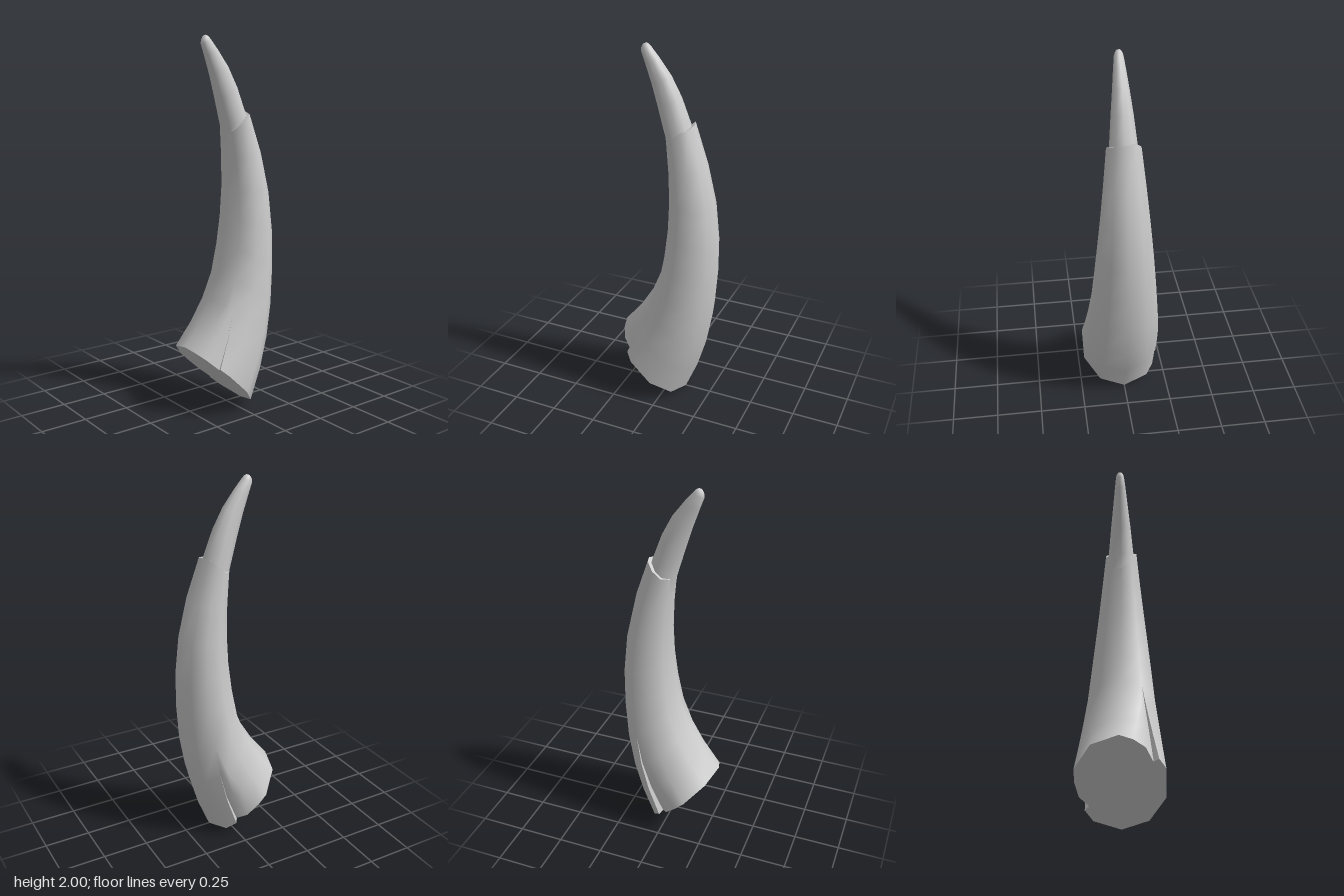
import * as THREE from 'three';
import { toCreasedNormals } from 'three/addons/utils/BufferGeometryUtils.js';

const SIDES = 10, STEP = 360 / SIDES;
const rad = THREE.MathUtils.degToRad, lerp = THREE.MathUtils.lerp;

// Radius factor that keeps extra columns on the flat sides of the ten-sided ring
const flat = a => Math.cos(rad(STEP / 2)) / Math.cos(rad(a % STEP - STEP / 2));

// Row: [outer x, outer y, inner x, inner y, half depth]; column: [angle, inset, lift]
function ring([ox, oy, ix, iy, hz], columns) {
  return columns.map(([a, inset = 0, lift = 0]) => {
    const r = flat(a) * (1 - inset), c = r * Math.cos(rad(a)) / 2;
    return new THREE.Vector3(
      (ox + ix) / 2 + (ox - ix) * c,
      (oy + iy) / 2 + (oy - iy) * c + lift,
      hz * r * Math.sin(rad(a)));
  });
}

// Skins the rings, optionally closing both ends
function loft(name, rings, closeTop) {
  const pos = [], n = rings[0].length;
  const tri = (...pts) => pts.forEach(p => pos.push(p.x, p.y, p.z));
  const middle = r => r.reduce((s, p) => s.add(p), new THREE.Vector3()).divideScalar(n);
  const last = rings[rings.length - 1];
  const c0 = middle(rings[0]), c1 = middle(last);
  for (let i = 0; i < n; i++) {
    const k = (i + 1) % n;
    for (let j = 0; j + 1 < rings.length; j++) {
      const a = rings[j], b = rings[j + 1];
      tri(a[i], b[i], a[k]);
      tri(a[k], b[i], b[k]);
    }
    tri(c0, rings[0][i], rings[0][k]);
    if (closeTop) tri(c1, last[k], last[i]);
  }
  const geo = new THREE.BufferGeometry();
  geo.setAttribute('position', new THREE.Float32BufferAttribute(pos, 3));
  const mesh = new THREE.Mesh(toCreasedNormals(geo, 0.9),
    new THREE.MeshStandardMaterial({ color: 0xcccccc, side: THREE.DoubleSide }));
  mesh.name = name;
  return mesh;
}

// Columns of the body; two split grooves narrow to a point at the fourth row
function bodyColumns(row) {
  const s = Math.max(0, 1 - row / 3), d = 0.14 * s;
  const columns = [];
  for (let i = 0; i < SIDES; i++) {
    const a = i * STEP;
    if (a === 144) {
      const lo = lerp(a, 122, s), hi = lerp(a, 162, s);
      columns.push([lo], [lo, d], [a, d * 0.6], [hi]);
    } else if (a === 288) {
      const lo = lerp(a, 268, s), hi = lerp(a, 307, s);
      columns.push([lo], [a, d * 0.6], [hi, d], [hi]);
    } else columns.push([a]);
  }
  return columns;
}

export function createModel() {
  const model = new THREE.Group();
  model.name = 'horn';

  // Thick outer sheath, from slanted base to upper rim
  const bodyRows = [
    [0.1, 0, -0.278, 0.37, 0.237],
    [0.17, 0.17, -0.18, 0.49, 0.222],
    [0.22, 0.34, -0.105, 0.61, 0.206],
    [0.255, 0.53, -0.05, 0.745, 0.187],
    [0.272, 0.74, -0.02, 0.9, 0.17],
    [0.275, 0.95, -0.003, 1.05, 0.152],
    [0.255, 1.17, 0.002, 1.2, 0.132],
    [0.205, 1.39, -0.003, 1.35, 0.112],
    [0.13, 1.61, -0.015, 1.51, 0.091],
  ];
  const bodyRings = bodyRows.map((r, j) => ring(r, bodyColumns(j)));

  // Uneven rim, then a ledge turning inward to the tip
  const jag = a => 0.009 * Math.sin(rad(a * 3 + 200));
  const rim = inset => ring(bodyRows[8], bodyColumns(8).map(([a]) => [a, inset, jag(a)]));
  bodyRings[8] = rim(0);
  bodyRings.push(rim(0.25));
  model.add(loft('sheath', bodyRings, false));

  // Slender tip with a rounded end
  const tipRows = [
    [0.135, 1.53, -0.01, 1.44, 0.08],
    [0.11, 1.605, -0.022, 1.53, 0.073],
    [0.06, 1.74, -0.066, 1.68, 0.058],
    [0.005, 1.845, -0.103, 1.8, 0.044],
    [-0.06, 1.93, -0.138, 1.9, 0.032],
    [-0.105, 1.982, -0.158, 1.955, 0.024],
    [-0.118, 1.995, -0.157, 1.975, 0.018],
    [-0.13, 2.0, -0.148, 1.992, 0.008],
  ];
  const plain = Array.from({ length: SIDES }, (_, i) => [i * STEP]);
  model.add(loft('tip', tipRows.map(r => ring(r, plain)), true));

  return model;
}
